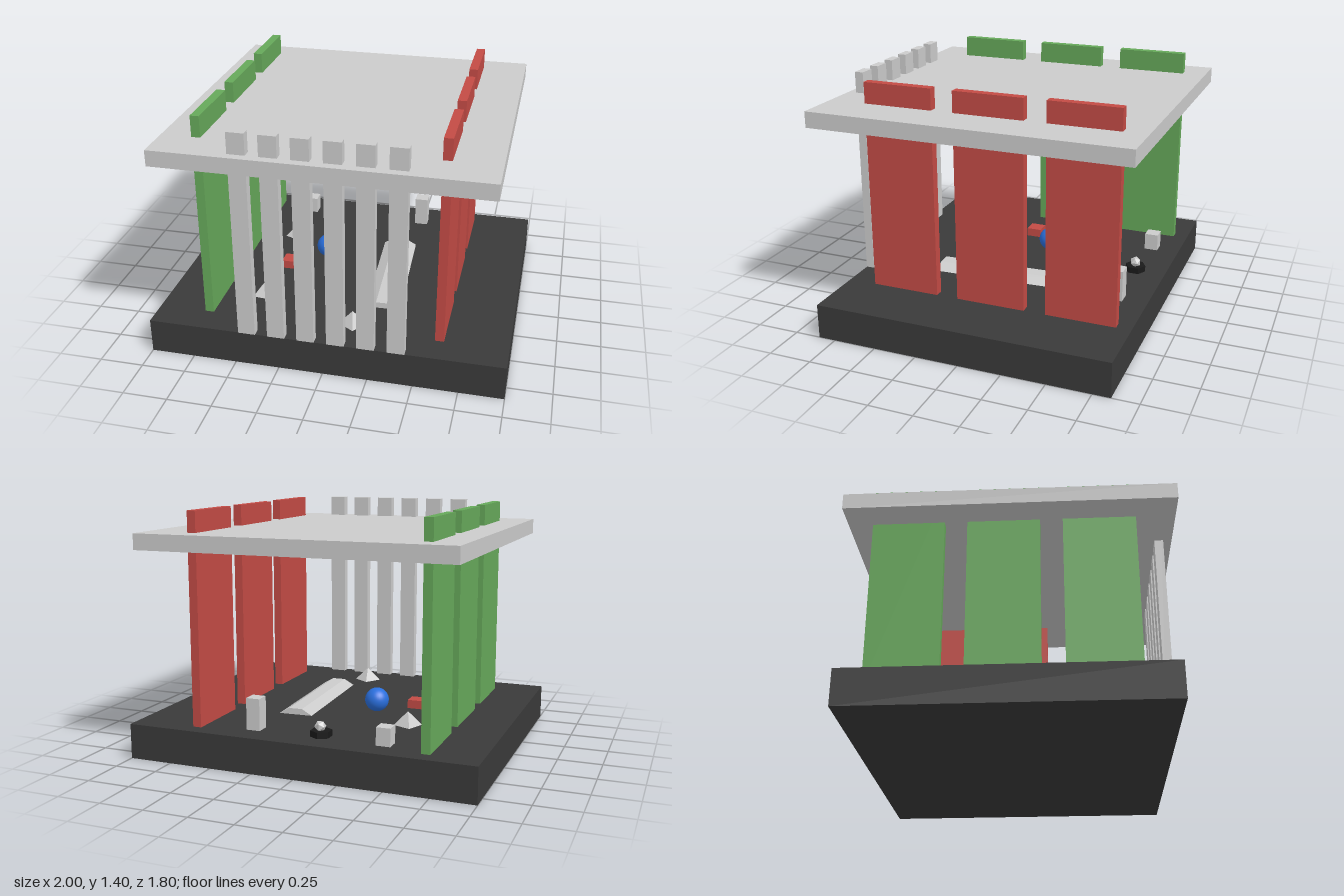
import * as THREE from 'three';

const material = (color, extra = {}) => new THREE.MeshStandardMaterial({ color, ...extra });
const GREY = material(0xcccccc);
const FACETED = material(0xcccccc, { flatShading: true });
const DARK = material(0x3a3a3a);
const BLACK = material(0x1a1a1a, { flatShading: true });
const RED = material(0xc34b45);
const GREEN = material(0x66a85a);
const BLUE = material(0x2a6fdd);

const FLOOR = 0.2; // top of the base

export function createModel() {
  const model = new THREE.Group();
  model.name = 'pavilion';

  const add = (name, geometry, mat, x, y, z) => {
    const mesh = new THREE.Mesh(geometry, mat);
    mesh.name = name;
    mesh.position.set(x, y, z);
    model.add(mesh);
    return mesh;
  };
  // Box standing on height y0
  const box = (name, mat, w, h, d, x, y0, z) =>
    add(name, new THREE.BoxGeometry(w, h, d), mat, x, y0 + h / 2, z);

  // Base and roof slabs
  box('base', DARK, 2, FLOOR, 1.7, 0, 0, 0);
  box('roof', GREY, 1.8, 0.09, 1.8, 0, 1.19, 0);

  // Side wall panels, passing through the roof
  for (const z of [-0.565, -0.04, 0.485]) {
    box('redWallPanel', RED, 0.05, 1.2, 0.4, 0.62, FLOOR, z);
    box('greenWallPanel', GREEN, 0.05, 1.2, 0.4, -0.705, FLOOR, z);
  }

  // Row of front posts
  for (let i = 0; i < 6; i++) {
    box('frontPost', GREY, 0.097, 1.2, 0.05, -0.428 + i * 0.167, FLOOR, 0.827);
  }

  // Long low bench with sloping sides
  const profile = new THREE.Shape([[-0.1, 0], [0.1, 0], [0.04, 0.035], [-0.04, 0.035]]
    .map(([x, y]) => new THREE.Vector2(x, y)));
  const benchGeometry = new THREE.ExtrudeGeometry(profile, { depth: 0.77, bevelEnabled: false });
  benchGeometry.translate(0, 0, -0.385);
  add('bench', benchGeometry, FACETED, 0.235, FLOOR, 0.05).rotation.y = 0.05;

  // Blocks along the back
  box('tallBlock', GREY, 0.08, 0.18, 0.08, 0.3, FLOOR, -0.67);
  box('shortBlock', GREY, 0.08, 0.1, 0.08, -0.46, FLOOR, -0.68);

  // Hexagonal stand carrying a small stone
  add('hexStand', new THREE.CylinderGeometry(0.06, 0.06, 0.035, 6), BLACK, -0.09, FLOOR + 0.0175, -0.67);
  add('standStone', new THREE.IcosahedronGeometry(0.033, 0), FACETED, -0.085, FLOOR + 0.055, -0.67);

  // Ball and small red block
  add('ball', new THREE.SphereGeometry(0.07, 32, 20), BLUE, -0.2, FLOOR + 0.07, -0.09);
  box('redBlock', RED, 0.09, 0.05, 0.09, -0.395, FLOOR, 0.08);

  // Half-buried faceted stones
  for (const [x, z, turn] of [[0.12, 0.62, 0.2], [-0.45, 0.43, 0.7], [-0.46, -0.3, 0.4]]) {
    add('stone', new THREE.OctahedronGeometry(0.08, 0), FACETED, x, FLOOR, z).rotation.y = turn;
  }

  return model;
}
